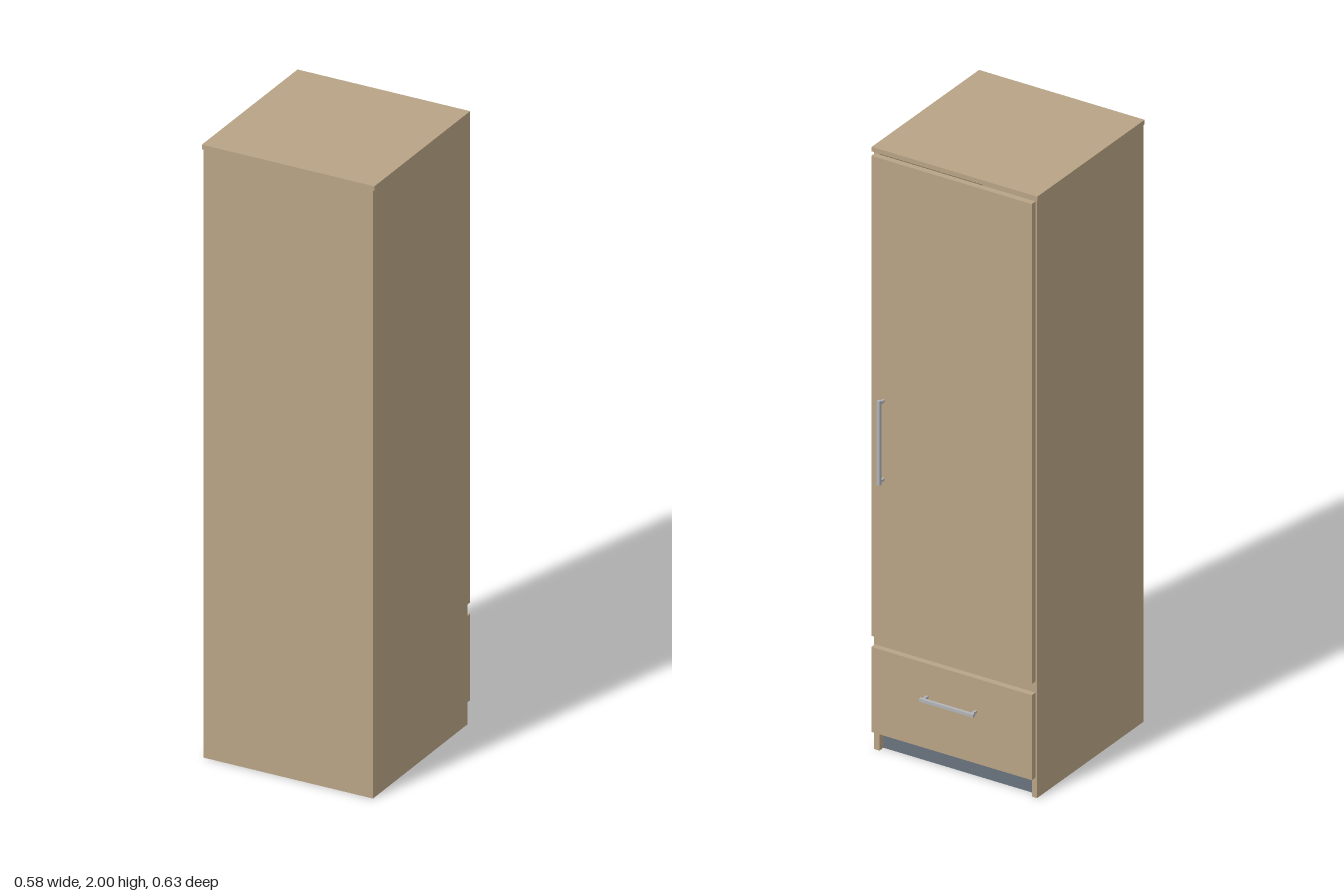
import * as THREE from 'three';

const wood = new THREE.MeshStandardMaterial({ color: 0xb8a385 });
wood.name = 'light wood';
const metal = new THREE.MeshStandardMaterial({ color: 0xb2b3b6 });
metal.name = 'brushed metal';
const slate = new THREE.MeshStandardMaterial({ color: 0x69737d });
slate.name = 'slate grey';

// Box given by its lower and upper limits on each axis
function panel(parent, name, material, [x0, x1], [y0, y1], [z0, z1]) {
  const mesh = new THREE.Mesh(new THREE.BoxGeometry(x1 - x0, y1 - y0, z1 - z0), material);
  mesh.position.set((x0 + x1) / 2, (y0 + y1) / 2, (z0 + z1) / 2);
  mesh.name = name;
  parent.add(mesh);
  return mesh;
}

// Bar handle along x, standing off the panel towards -z
function handle(name, length) {
  const group = new THREE.Group();
  group.name = name;
  const h = length / 2, r = 0.005;
  panel(group, 'handleBar', metal, [-h, h], [-r, r], [-0.03, -0.02]);
  for (const side of [-1, 1]) {
    const x = side * (h - 0.01);
    panel(group, 'handlePost', metal, [x - 0.004, x + 0.004], [-0.004, 0.004], [-0.02, 0]);
  }
  return group;
}

export function createModel() {
  const model = new THREE.Group();
  model.name = 'wardrobe';
  const back = 0.312, front = -0.262, half = 0.285, t = 0.018;
  const inner = half - t;

  // Carcass, open underneath
  panel(model, 'leftSide', wood, [inner, half], [0, 1.985], [front, back]);
  panel(model, 'rightSide', wood, [-half, -inner], [0, 1.985], [front, back]);
  panel(model, 'backPanel', wood, [-inner, inner], [0, 1.985], [back - t, back]);
  panel(model, 'topPanel', wood, [-0.29, 0.29], [1.985, 2], [-0.268, back]);
  panel(model, 'bottomPanel', wood, [-inner, inner], [0.06, 0.078], [front, back - t]);
  panel(model, 'dividerShelf', wood, [-inner, inner], [0.345, 0.375], [front, back - t]);
  panel(model, 'kickboard', slate, [-inner, inner], [0, 0.06], [-0.24, -0.225]);

  // Door and drawer front
  panel(model, 'door', wood, [-0.281, 0.281], [0.387, 1.98], [-0.284, -0.264]);
  panel(model, 'drawerFront', wood, [-0.281, 0.281], [0.068, 0.35], [-0.284, -0.264]);

  // Handles
  const drawerHandle = handle('drawerHandle', 0.19);
  drawerHandle.position.set(0, 0.24, -0.284);
  const doorHandle = handle('doorHandle', 0.28);
  doorHandle.rotation.z = Math.PI / 2;
  doorHandle.position.set(0.238, 1.05, -0.284);
  model.add(drawerHandle, doorHandle);

  return model;
}
